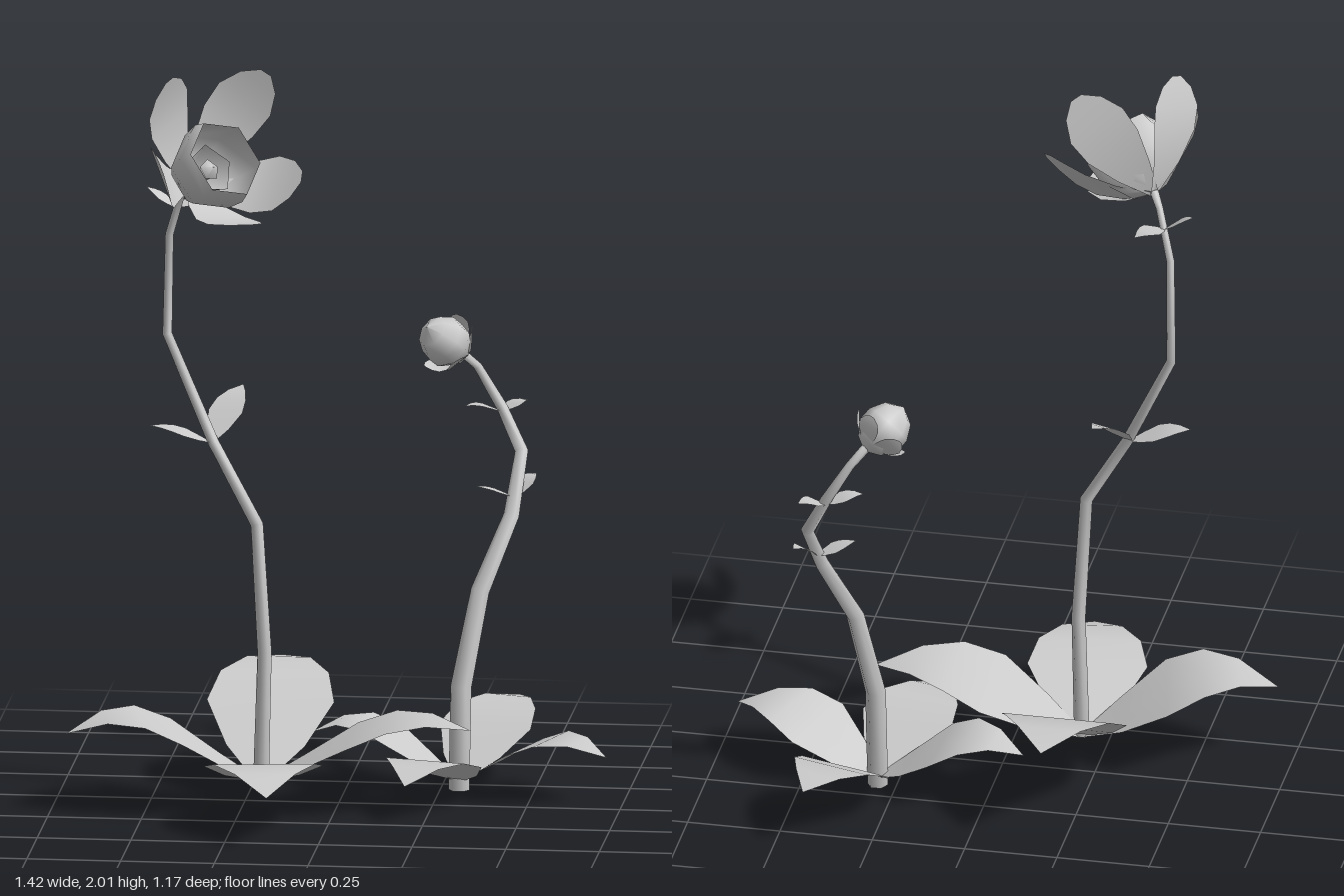
import * as THREE from 'three';

const V = (x, y, z) => new THREE.Vector3(x, y, z);
const UP = V(0, 1, 0);
const solid = new THREE.MeshStandardMaterial({ color: 0xcccccc });
const sheet = new THREE.MeshStandardMaterial({ color: 0xcccccc, side: THREE.DoubleSide });

function mesh(name, geometry, material) {
  const m = new THREE.Mesh(geometry, material);
  m.name = name;
  return m;
}

// Surface through rows of points, all rows equally long
function skin(rows) {
  const n = rows[0].length, index = [];
  for (let i = 0; i < rows.length - 1; i++)
    for (let j = 0; j < n - 1; j++) {
      const a = i * n + j;
      index.push(a, a + 1, a + n, a + 1, a + n + 1, a + n);
    }
  const g = new THREE.BufferGeometry().setFromPoints(rows.flat());
  g.setIndex(index);
  g.computeVertexNormals();
  return g;
}

const LEAF = { t: [0, 0.2, 0.43, 0.62, 0.8, 1], w: [0.1, 0.62, 1, 0.85, 0.5, 0], peak: 1.4 };
const PETAL = { t: [0, 0.2, 0.45, 0.68, 0.88, 1], w: [0.15, 0.6, 0.95, 1, 0.68, 0.2], peak: 0.75 };

// Thin blade from base to tip; it arches towards the vector "out"
function blade(name, base, tip, half, out, arch, style = LEAF) {
  const dir = tip.clone().sub(base);
  const side = out.clone().cross(dir).normalize();
  const rows = style.t.map((t, i) => {
    const c = base.clone().addScaledVector(dir, t)
      .addScaledVector(out, arch * Math.sin(Math.PI * Math.pow(t, style.peak)));
    return [-1, 0, 1].map(s => c.clone().addScaledVector(side, s * half * style.w[i]));
  });
  return mesh(name, skin(rows), sheet);
}

// Bent six-sided stem; each point is [x, y, z, radius]
function stem(points) {
  const p = points.map(q => V(q[0], q[1], q[2]));
  const rows = p.map((c, i) => {
    const d = p[Math.min(i + 1, p.length - 1)].clone().sub(p[Math.max(i - 1, 0)]).normalize();
    const turn = new THREE.Quaternion().setFromUnitVectors(UP, d);
    return Array.from({ length: 7 }, (_, j) => {
      const a = -(j % 6) * Math.PI / 3;
      return V(Math.cos(a), 0, Math.sin(a)).multiplyScalar(points[i][3]).applyQuaternion(turn).add(c);
    });
  });
  const close = i => Array.from({ length: 7 }, () => p[i].clone());
  return mesh('stem', skin([close(0), ...rows, close(p.length - 1)]), sheet);
}

// Lathe whose profile runs along a given axis from an origin
function turned(name, profile, sides, origin, axis, material) {
  const m = mesh(name, new THREE.LatheGeometry(profile.map(q => new THREE.Vector2(...q)), sides), material);
  m.position.copy(origin);
  m.quaternion.setFromUnitVectors(UP, axis);
  return m;
}

// Leaves from one base; each entry is [tipX, tipY, tipZ, halfWidth, arch]
function leaves(group, name, base, list) {
  for (const [x, y, z, w, arch] of list) group.add(blade(name, base, V(x, y, z), w, UP, arch));
}

function floweringPlant() {
  const g = new THREE.Group();
  g.name = 'floweringPlant';
  g.add(stem([
    [-0.2, 0.07, 0.07, 0.021], [-0.19, 0.42, 0.075, 0.019], [-0.21, 0.77, 0.08, 0.017],
    [-0.33, 0.98, 0.04, 0.015], [-0.46, 1.26, -0.02, 0.013], [-0.45, 1.54, 0.02, 0.011],
    [-0.41, 1.67, 0.07, 0.01], [-0.39, 1.7, 0.1, 0.012]]));
  leaves(g, 'groundLeaf', V(-0.2, 0.07, 0.07), [
    [-0.2, 0.29, -0.47, 0.17, 0.085], [-0.71, 0.21, 0.18, 0.165, 0.095],
    [-0.13, 0.14, 0.58, 0.16, 0.075], [0.36, 0.22, 0.07, 0.17, 0.075]]);
  leaves(g, 'stemLeaf', V(-0.335, 0.98, 0.04), [
    [-0.27, 1.1, -0.14, 0.05, 0.02], [-0.5, 1.025, 0.05, 0.05, 0.01]]);
  leaves(g, 'upperStemLeaf', V(-0.43, 1.62, 0.05), [
    [-0.51, 1.67, 0.03, 0.03, 0.005], [-0.36, 1.62, -0.02, 0.035, 0.01]]);

  // Flower head: five petals round an open six-sided cup
  const base = V(-0.39, 1.695, 0.1), axis = V(0.6, 0.53, 0.6).normalize();
  const flower = new THREE.Group();
  flower.name = 'flower';
  const tips = [[-0.43, 2, 0.2], [-0.19, 1.99, 0.04], [-0.08, 1.74, 0.17], [-0.2, 1.64, 0.32], [-0.43, 1.8, 0.385]];
  for (const q of tips) {
    const tip = V(...q), out = tip.clone().sub(base).projectOnPlane(axis).normalize();
    flower.add(blade('petal', base, tip, 0.085, out, 0.045, PETAL));
  }
  flower.add(turned('cup', [[0.015, 0.01], [0.075, 0.035], [0.112, 0.09], [0.12, 0.15], [0.11, 0.185]], 6, base, axis, sheet));
  flower.add(turned('innerCup', [[0.02, 0.03], [0.05, 0.06], [0.07, 0.11]], 5, base, axis, sheet));
  flower.add(turned('pistil', [[0, 0.02], [0.015, 0.03], [0.02, 0.09], [0.03, 0.105], [0, 0.125]], 5, base, axis, solid));
  g.add(flower);
  return g;
}

function buddingPlant() {
  const g = new THREE.Group();
  g.name = 'buddingPlant';
  g.add(stem([
    [0.3, 0, -0.185, 0.028], [0.305, 0.28, -0.19, 0.028], [0.35, 0.53, -0.24, 0.025],
    [0.425, 0.72, -0.32, 0.021], [0.44, 0.87, -0.43, 0.018], [0.385, 0.98, -0.46, 0.015],
    [0.32, 1.09, -0.46, 0.012], [0.28, 1.135, -0.425, 0.013]]));
  leaves(g, 'groundLeaf', V(0.3, 0.025, -0.185), [
    [0.71, 0.13, -0.04, 0.13, 0.075], [0.42, 0.17, -0.59, 0.13, 0.06],
    [-0.1, 0.14, -0.21, 0.13, 0.08], [0.2, 0.1, 0.23, 0.13, 0.065]]);
  leaves(g, 'stemLeaf', V(0.43, 0.76, -0.36), [
    [0.33, 0.795, -0.32, 0.032, 0.005], [0.48, 0.81, -0.43, 0.032, 0.015]]);
  leaves(g, 'upperStemLeaf', V(0.385, 0.97, -0.46), [
    [0.29, 0.99, -0.42, 0.032, 0.01], [0.45, 0.99, -0.51, 0.032, 0.01]]);

  // Closed bud held by five sepals
  const base = V(0.28, 1.13, -0.425), axis = V(-0.55, 0.6, 0.55).normalize();
  g.add(turned('bud', [[0, -0.01], [0.04, 0.01], [0.066, 0.05], [0.066, 0.085], [0.045, 0.125], [0, 0.148]], 8, base, axis, solid));
  const u = V(0, 1, 0).projectOnPlane(axis).normalize(), v = axis.clone().cross(u);
  for (let i = 0; i < 5; i++) {
    const a = i * Math.PI * 0.4 + 0.3;
    const out = u.clone().multiplyScalar(Math.cos(a)).addScaledVector(v, Math.sin(a));
    const tip = base.clone().addScaledVector(axis, 0.065).addScaledVector(out, 0.085);
    g.add(blade('sepal', base, tip, 0.035, out, 0.018, PETAL));
  }
  return g;
}

export function createModel() {
  const model = new THREE.Group();
  model.name = 'flowers';
  model.add(floweringPlant(), buddingPlant());
  return model;
}
